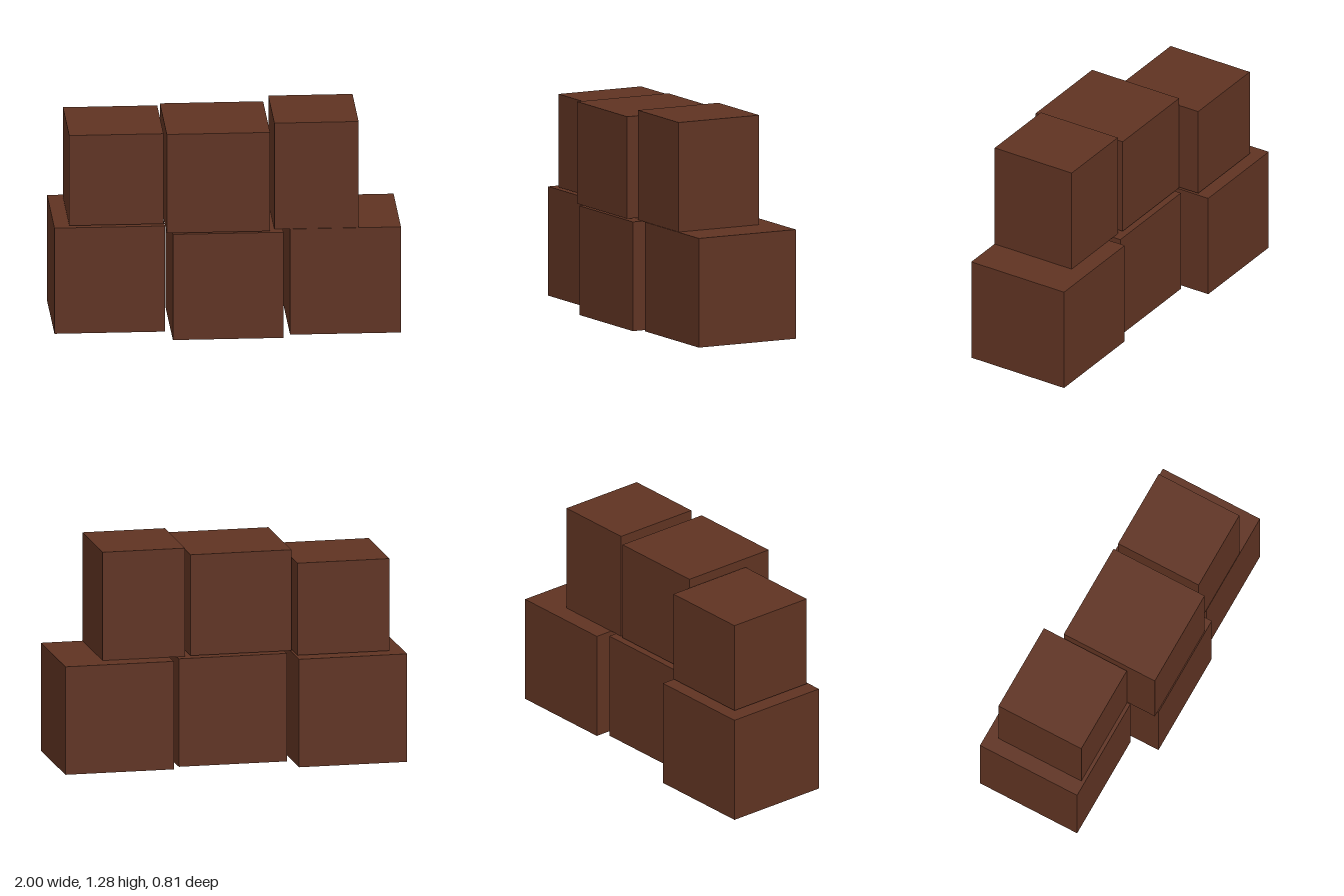
import * as THREE from 'three';

// name, min corner, max corner
const BLOCKS = [
  ['lowerRightBlock', [-1, 0, -0.403], [-0.36, 0.64, 0.237]],
  ['lowerMiddleBlock', [-0.325, 0, -0.237], [0.315, 0.64, 0.403]],
  ['lowerLeftBlock', [0.358, 0, -0.295], [1, 0.64, 0.345]],
  ['upperRightBlock', [-0.913, 0.647, -0.329], [-0.367, 1.193, 0.217]],
  ['upperMiddleBlock', [-0.36, 0.647, -0.202], [0.238, 1.245, 0.398]],
  ['upperLeftBlock', [0.267, 0.641, -0.188], [0.755, 1.283, 0.343]],
];

export function createModel() {
  const group = new THREE.Group();
  group.name = 'blockStack';
  const brown = new THREE.MeshStandardMaterial({ color: 0x5f3322 });
  brown.name = 'dark brown';

  // Two rows of separate, slightly offset blocks
  for (const [name, min, max] of BLOCKS) {
    const size = max.map((v, i) => v - min[i]);
    const block = new THREE.Mesh(new THREE.BoxGeometry(...size), brown);
    block.position.set(...max.map((v, i) => (v + min[i]) / 2));
    block.name = name;
    group.add(block);
  }
  return group;
}
